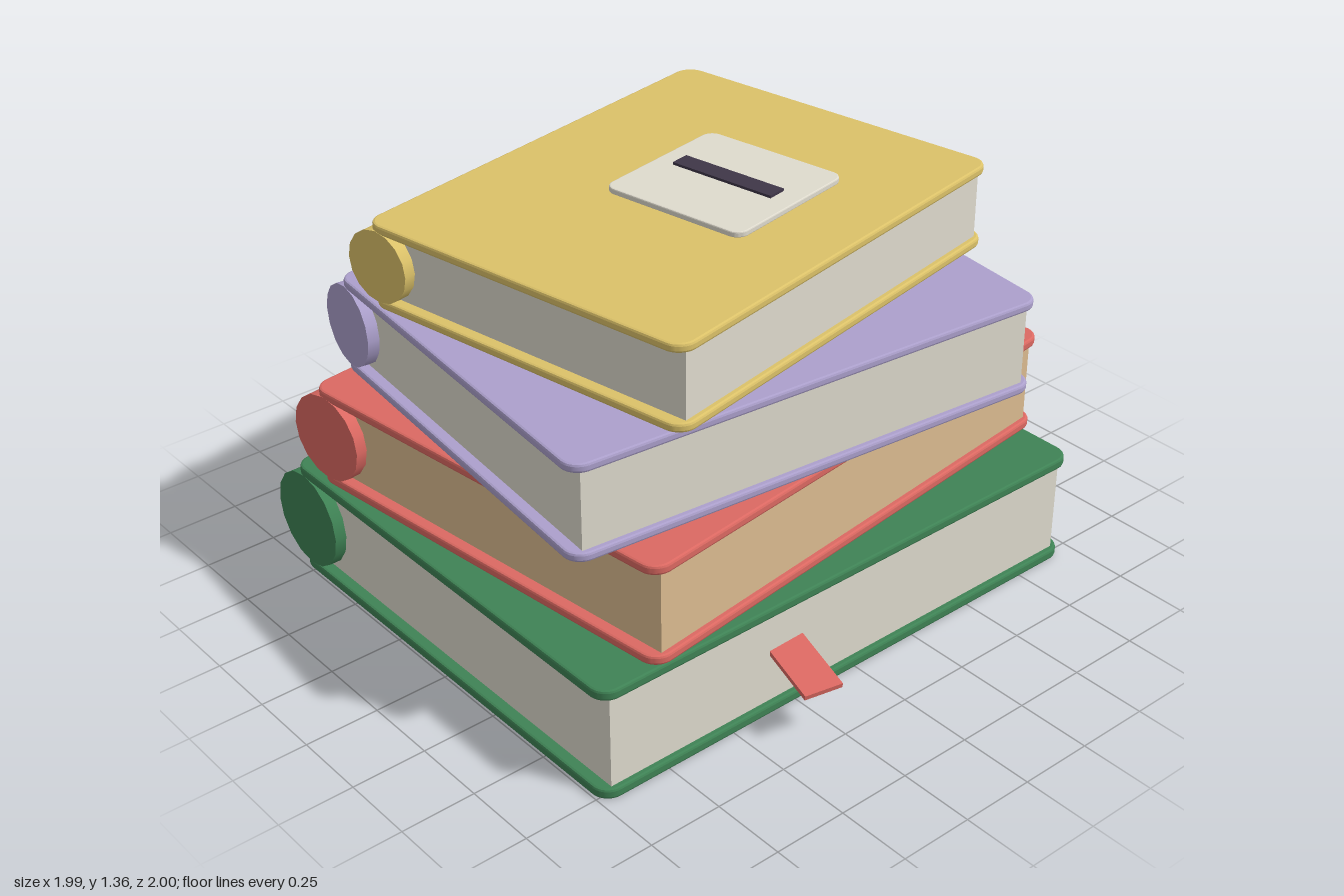
import * as THREE from 'three';
import { toCreasedNormals } from 'three/addons/utils/BufferGeometryUtils.js';

const COLORS = {
  green: 0x3f8355, red: 0xdc6962, purple: 0xaca0cc, yellow: 0xdcc269,
  cream: 0xdfdbce, tan: 0xdcbc90, dark: 0x3f3648,
};

export function createModel() {
  const mats = {};
  for (const [name, color] of Object.entries(COLORS)) {
    mats[name] = new THREE.MeshStandardMaterial({ color });
    mats[name].name = name;
  }

  function add(parent, name, geometry, mat, x, y, z) {
    const mesh = new THREE.Mesh(geometry, mats[mat]);
    mesh.name = name;
    mesh.position.set(x, y, z);
    parent.add(mesh);
    return mesh;
  }

  // Flat slab with rounded corners and a softened rim, lying on y = 0, centred in x and z
  function slab(w, d, h, r, bevel) {
    const a = w / 2 - bevel, b = d / 2 - bevel, c = r - bevel;
    const s = new THREE.Shape();
    s.absarc(a - c, b - c, c, 0, Math.PI / 2);
    s.absarc(-a + c, b - c, c, Math.PI / 2, Math.PI);
    s.absarc(-a + c, -b + c, c, Math.PI, Math.PI * 1.5);
    s.absarc(a - c, -b + c, c, Math.PI * 1.5, Math.PI * 2);
    const g = new THREE.ExtrudeGeometry(s, {
      depth: h - 2 * bevel, curveSegments: 6,
      bevelThickness: bevel, bevelSize: bevel, bevelSegments: 2,
    });
    g.rotateX(-Math.PI / 2).translate(0, bevel, 0);
    return toCreasedNormals(g, 0.35);
  }

  const rod = (r, len) => new THREE.CylinderGeometry(r, r, len, 16).rotateX(Math.PI / 2);

  // A book whose origin is the middle of its spine, at the underside of the lower cover
  function book({ name, x, y, z, turn, left, right, length, height, cover, radius, color, pages, band }) {
    const g = new THREE.Group();
    g.name = name;
    g.position.set(x, y, z);
    g.rotation.y = turn;
    const mid = (left + right) / 2, board = slab(right - left, length, cover, 0.06, 0.008);
    add(g, 'lowerCover', board, color, mid, 0, 0);
    add(g, 'upperCover', board, color, mid, height - cover, 0);
    const block = new THREE.BoxGeometry(right - 0.02, height - 2 * cover + 0.004, length - 0.08);
    add(g, 'pages', block, pages, (right - 0.02) / 2, height / 2, 0);
    add(g, 'spine', rod(radius, length), color, 0, height / 2, 0);
    for (const side of [-1, 1]) {
      add(g, 'spineBand', rod(radius + 0.009, length * 0.052), band, 0, height / 2, side * length * 0.28);
    }
    return g;
  }

  const model = new THREE.Group();
  model.name = 'bookStack';

  const books = [
    { name: 'bottomBook', x: -0.763, y: 0, z: 0.02, turn: 0, left: -0.057, right: 1.548, length: 1.95,
      height: 0.39, cover: 0.035, radius: 0.168, color: 'green', pages: 'cream', band: 'yellow' },
    { name: 'secondBook', x: -0.738, y: 0.39, z: 0.07, turn: 0.12, left: -0.052, right: 1.432, length: 1.825,
      height: 0.342, cover: 0.032, radius: 0.15, color: 'red', pages: 'tan', band: 'cream' },
    { name: 'thirdBook', x: -0.596, y: 0.732, z: -0.008, turn: -0.1, left: -0.045, right: 1.32, length: 1.69,
      height: 0.322, cover: 0.03, radius: 0.138, color: 'purple', pages: 'cream', band: 'yellow' },
    { name: 'topBook', x: -0.591, y: 1.054, z: 0.1, turn: 0.183, left: -0.042, right: 1.178, length: 1.525,
      height: 0.282, cover: 0.03, radius: 0.12, color: 'yellow', pages: 'cream', band: 'tan' },
  ].map(book);
  model.add(...books);

  // Cover plate with a dark bar on the top book
  const top = books[3];
  add(top, 'coverPlate', slab(0.525, 0.52, 0.02, 0.04, 0.004), 'cream', 0.64, 0.28, -0.1);
  add(top, 'plateBar', new THREE.BoxGeometry(0.38, 0.009, 0.066), 'dark', 0.636, 0.304, -0.121);

  // Ribbon bookmark drooping from the bottom book
  const ribbon = add(model, 'ribbonBookmark', new THREE.BoxGeometry(0.26, 0.016, 0.13), 'red', 0.85, 0.2, 0.297);
  ribbon.rotation.set(0, -0.2, -0.15);

  return model;
}
